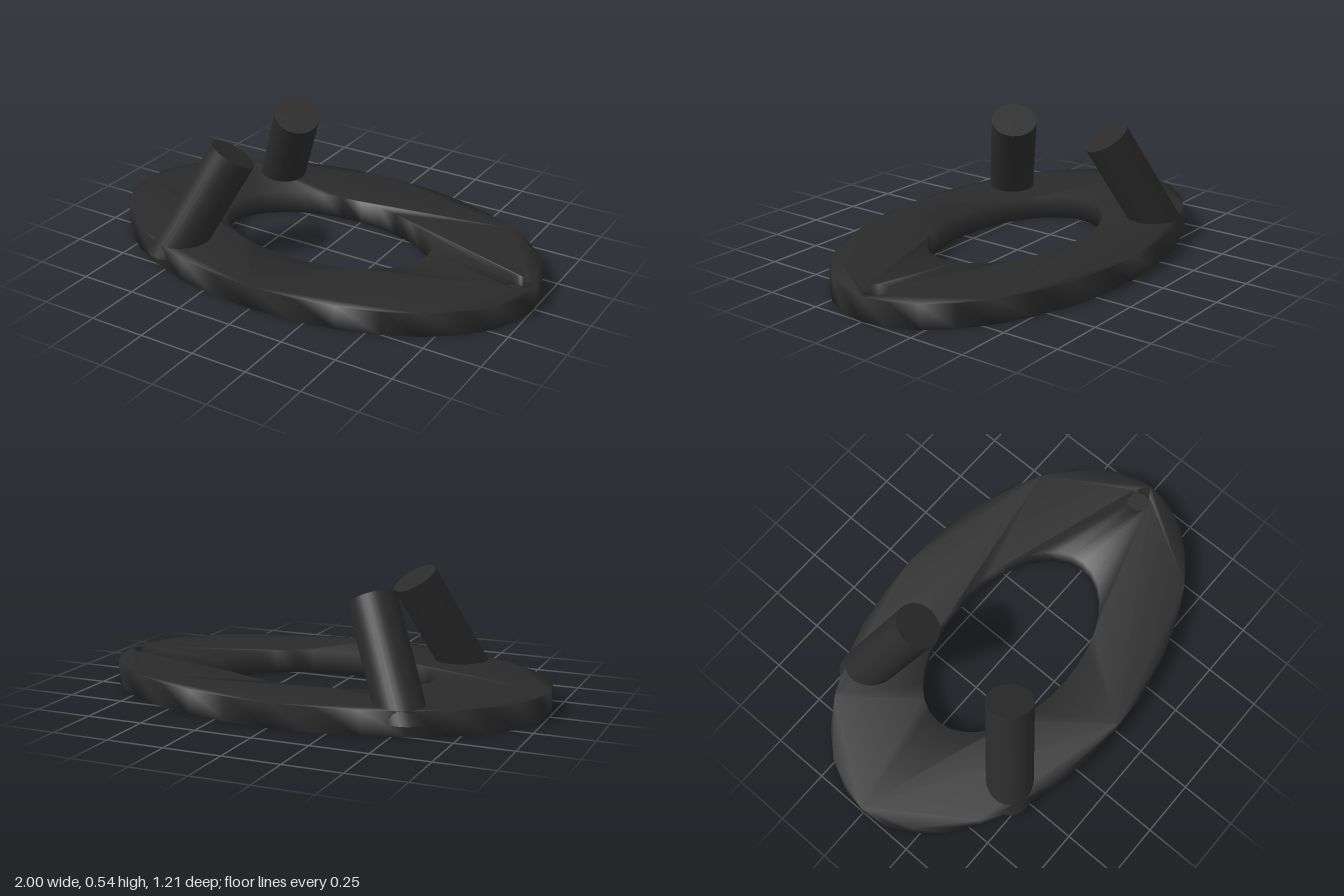
import * as THREE from 'three';
import { mergeVertices } from 'three/addons/utils/BufferGeometryUtils.js';

const PLATE = 0.105;
const material = new THREE.MeshStandardMaterial({ color: 0x2a2a2a });

function ellipse(cx, rx, rz, sides) {
  return new THREE.EllipseCurve(cx, 0, rx, rz).getPoints(sides).slice(0, -1);
}

function addMesh(parent, name, geometry) {
  const mesh = new THREE.Mesh(geometry, material);
  mesh.name = name;
  parent.add(mesh);
  return mesh;
}

// Flat oval ring, pierced by the centre opening and the small pit, softly shaded
function ringGeometry() {
  const shape = new THREE.Shape(ellipse(0, 1, 0.605, 32));
  shape.holes.push(new THREE.Path(ellipse(0, 0.5, 0.305, 32)));
  shape.holes.push(new THREE.Path(ellipse(0.91, 0.055, 0.055, 20)));
  let geometry = new THREE.ExtrudeGeometry(shape, { depth: PLATE, bevelEnabled: false });
  geometry.rotateX(-Math.PI / 2);
  geometry.deleteAttribute('normal');
  geometry.deleteAttribute('uv');
  geometry = mergeVertices(geometry, 1e-4);
  geometry.computeVertexNormals();
  return geometry;
}

// Leaning round peg: square-cut top, foot cut level inside the ring
function pegGeometry(side) {
  const axis = new THREE.Vector3(0.46, 1, -0.39 * side).normalize();
  const top = new THREE.Vector3(-0.311, 0.488, 0.253 * side);
  const geometry = new THREE.CylinderGeometry(0.104, 0.104, 0.45, 32);
  geometry.translate(0, -0.225, 0);
  geometry.applyQuaternion(new THREE.Quaternion().setFromUnitVectors(new THREE.Vector3(0, 1, 0), axis));
  geometry.translate(top.x, top.y, top.z);
  const position = geometry.attributes.position;
  const v = new THREE.Vector3();
  for (let i = 0; i < position.count; i++) {
    v.fromBufferAttribute(position, i);
    if (v.y < 0.25) {
      v.addScaledVector(axis, (0.05 - v.y) / axis.y);
      position.setXYZ(i, v.x, v.y, v.z);
    }
  }
  return geometry;
}

export function createModel() {
  const model = new THREE.Group();
  model.name = 'ovalRingWithPegs';

  addMesh(model, 'ovalRing', ringGeometry());

  // Floor of the shallow pit
  const floor = addMesh(model, 'pitFloor', new THREE.CylinderGeometry(0.055, 0.055, 0.06, 20));
  floor.position.set(0.91, 0.03, 0);
  floor.rotation.y = Math.PI / 2;

  // Mirrored pair of pegs
  addMesh(model, 'frontPeg', pegGeometry(1));
  addMesh(model, 'backPeg', pegGeometry(-1));
  return model;
}
